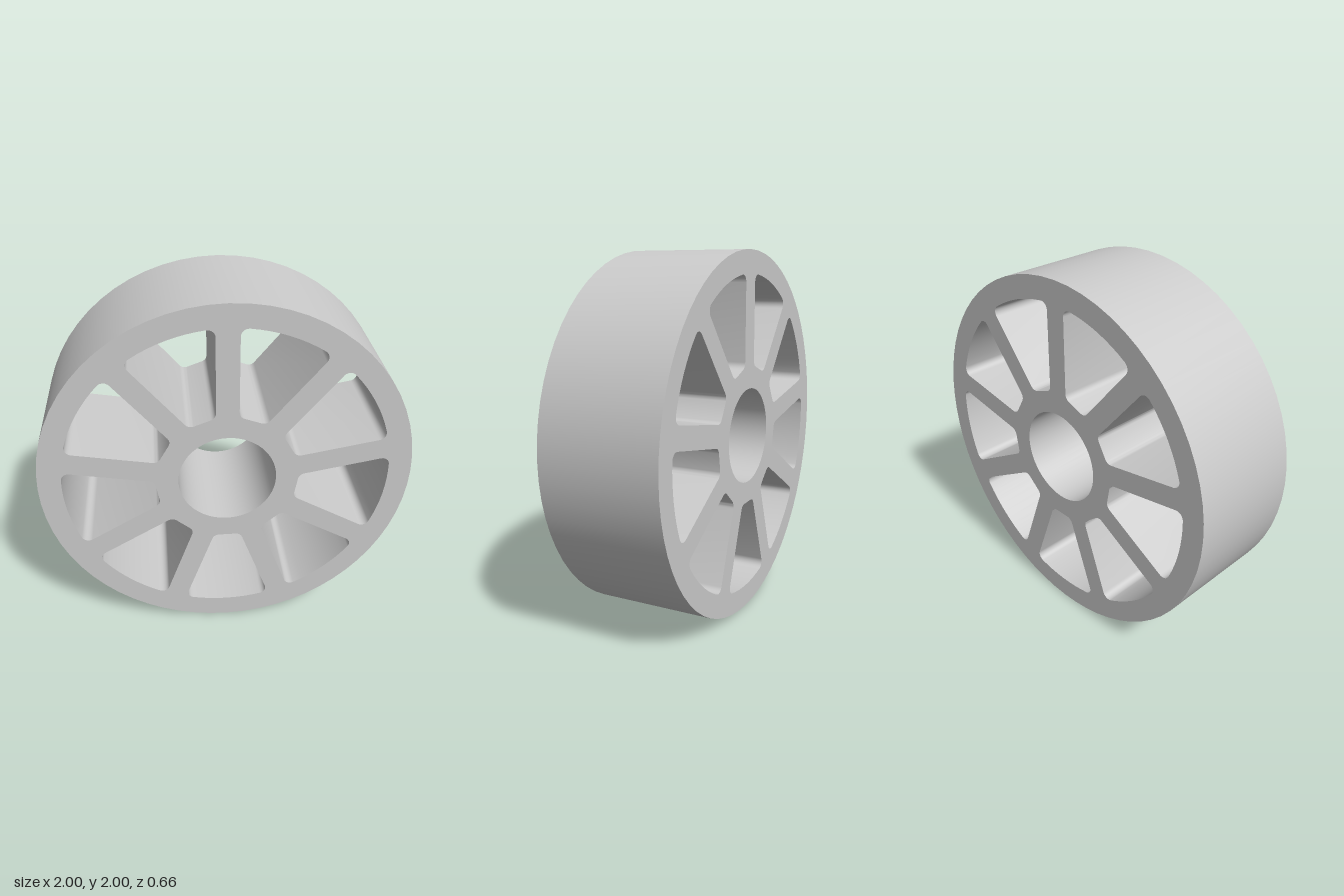
import * as THREE from 'three';
import { toCreasedNormals } from 'three/addons/utils/BufferGeometryUtils.js';

const SPOKES = 9;
const RIM = 1, POCKET_OUTER = 0.875, POCKET_INNER = 0.38, BORE = 0.262;
const HALF_SPOKE = 0.06, FILLET = 0.04, DEPTH = 0.66;

// Points along a counter-clockwise arc
function arc(cx, cy, r, from, to, steps) {
  return Array.from({ length: steps + 1 }, (_, i) => {
    const t = from + (to - from) * i / steps;
    return new THREE.Vector2(cx + r * Math.cos(t), cy + r * Math.sin(t));
  });
}

const circle = (r, steps) => arc(0, 0, r, 0, Math.PI * 2, steps).slice(0, -1);

// Wedge opening between two spokes, centred on angle a, with filleted corners
function pocket(a) {
  const half = Math.PI / SPOKES, right = Math.PI / 2;
  const outerR = POCKET_OUTER - FILLET;
  const beta = half - Math.asin((HALF_SPOKE + FILLET) / outerR);
  const d = POCKET_INNER + FILLET;
  const side = (d * Math.sin(half) - HALF_SPOKE - FILLET) / Math.cos(half);

  const outerCorner = (s, from, to) =>
    arc(outerR * Math.cos(a + s * beta), outerR * Math.sin(a + s * beta), FILLET, from, to, 6);
  const innerCorner = (s, from, to) => arc(
    d * Math.cos(a) - s * side * Math.sin(a),
    d * Math.sin(a) + s * side * Math.cos(a), FILLET, from, to, 6);

  return new THREE.Path([
    ...outerCorner(-1, a - half - right, a - beta),
    ...arc(0, 0, POCKET_OUTER, a - beta, a + beta, 8).slice(1, -1),
    ...outerCorner(1, a + beta, a + half + right),
    ...innerCorner(1, a + half + right, a + Math.PI),
    ...innerCorner(-1, a + Math.PI, a + 2 * Math.PI - half - right),
  ]);
}

export function createModel() {
  const group = new THREE.Group();
  group.name = 'wheel';

  // Rim, spokes and hub are one extruded plate with a bore and nine pockets
  const profile = new THREE.Shape(circle(RIM, 64));
  profile.holes.push(new THREE.Path(circle(BORE, 48)));
  for (let i = 0; i < SPOKES; i++) {
    profile.holes.push(pocket(-Math.PI / 2 + i * 2 * Math.PI / SPOKES));
  }

  const geometry = new THREE.ExtrudeGeometry(profile, { depth: DEPTH, bevelEnabled: false });
  geometry.translate(0, RIM, -DEPTH / 2);

  const wheel = new THREE.Mesh(
    toCreasedNormals(geometry, 0.6),
    new THREE.MeshStandardMaterial({ color: 0xcccccc })
  );
  wheel.name = 'spokedWheelBody';
  group.add(wheel);
  return group;
}
